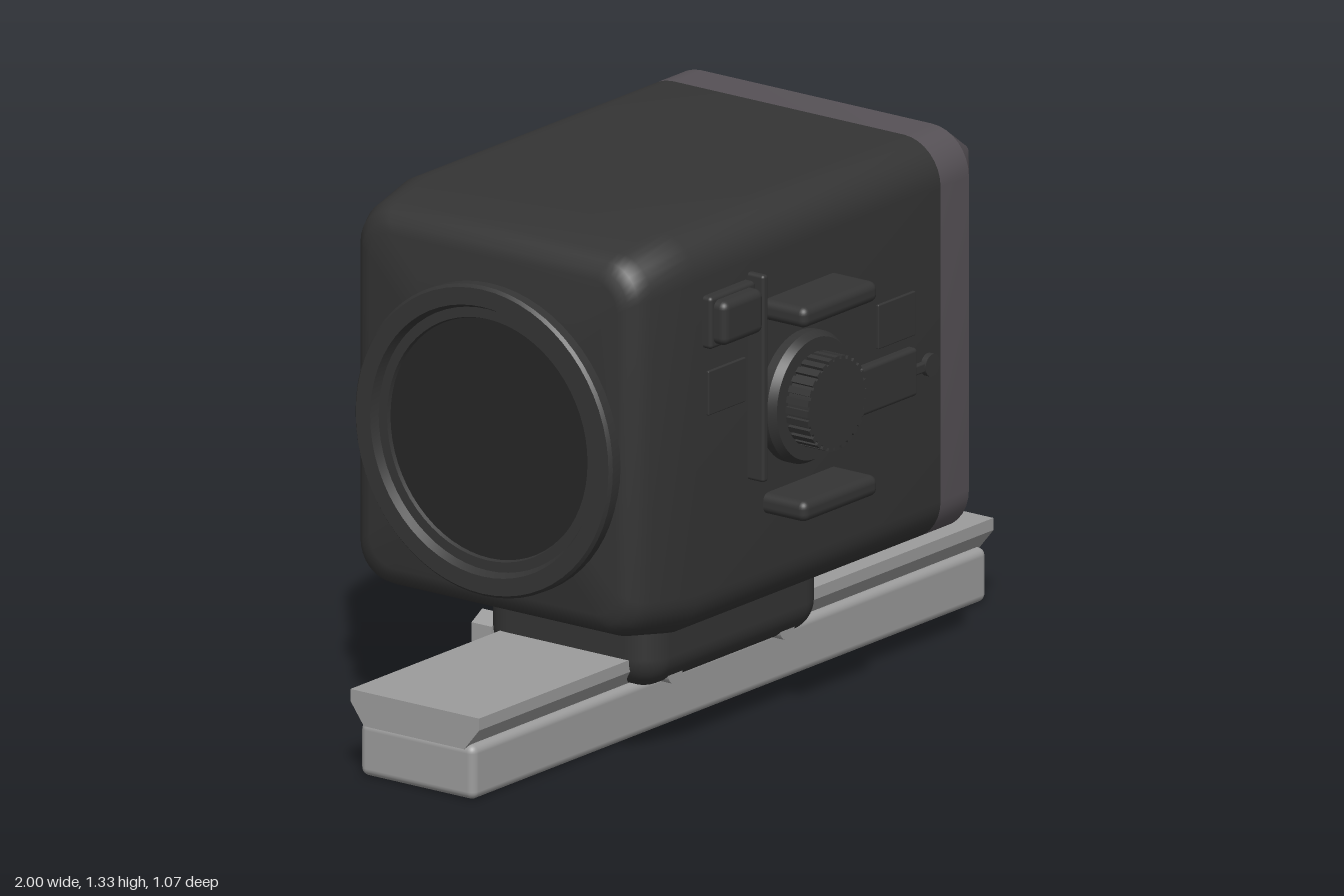
import * as THREE from 'three';
import { toCreasedNormals, mergeVertices } from 'three/addons/utils/BufferGeometryUtils.js';
import { RoundedBoxGeometry } from 'three/addons/geometries/RoundedBoxGeometry.js';

const CY = 0.83, CZ = -0.045, HY = 0.5, HZ = 0.455;

const material = (name, color) => {
  const m = new THREE.MeshStandardMaterial({ color });
  m.name = name;
  return m;
};

// Closed hull along x from rounded rectangles: each section is [x, inset, cornerRadius]
function hull(sections, crease) {
  const pos = [], idx = [], steps = 8, n = 4 * (steps + 1);
  for (const [x, inset, r] of sections) {
    for (let q = 0; q < 4; q++) {
      const sy = q === 0 || q === 3 ? 1 : -1, sz = q < 2 ? 1 : -1;
      for (let s = 0; s <= steps; s++) {
        const a = (q + s / steps) * Math.PI / 2;
        pos.push(x, CY + sy * (HY - inset - r) + r * Math.cos(a),
          CZ + sz * (HZ - inset - r) + r * Math.sin(a));
      }
    }
  }
  for (let i = 0; i < sections.length - 1; i++) {
    for (let j = 0; j < n; j++) {
      const k = (j + 1) % n, a = i * n + j, b = i * n + k;
      idx.push(a, b, a + n, b, b + n, a + n);
    }
  }
  // Flat ends
  const last = (sections.length - 1) * n, c = pos.length / 3;
  pos.push(sections[0][0], CY, CZ, sections.at(-1)[0], CY, CZ);
  for (let j = 0; j < n; j++) {
    const k = (j + 1) % n;
    idx.push(c, k, j, c + 1, last + j, last + k);
  }
  const g = new THREE.BufferGeometry();
  g.setAttribute('position', new THREE.Float32BufferAttribute(pos, 3));
  g.setIndex(idx);
  return toCreasedNormals(mergeVertices(g), crease);
}

// Turned part from [radius, height] points
function turned(points, segments = 64) {
  const g = new THREE.LatheGeometry(points.map(p => new THREE.Vector2(...p)), segments);
  return toCreasedNormals(g, 0.5);
}

export function createModel() {
  const root = new THREE.Group();
  root.name = 'opticOnRail';
  const dark = material('charcoal', 0x343434);
  const glass = material('dark glass', 0x262626);
  const grey = material('warm grey', 0x565156);
  const metal = material('light metal', 0x9c9c9c);

  const add = (name, geo, mat, x = 0, y = 0, z = 0, parent = root) => {
    const m = new THREE.Mesh(geo, mat);
    m.name = name;
    m.position.set(x, y, z);
    parent.add(m);
    return m;
  };
  // Rounded block given by its limits
  const block = (name, mat, x0, x1, y0, y1, z0, z1, r = 0.01) =>
    add(name, new RoundedBoxGeometry(x1 - x0, y1 - y0, z1 - z0, 3, r), mat,
      (x0 + x1) / 2, (y0 + y1) / 2, (z0 + z1) / 2);

  // Housing and its chamfered end cap
  add('housing', hull([[-0.7, 0.085, 0.07], [-0.692, 0.06, 0.08], [-0.675, 0.04, 0.09],
    [-0.64, 0.024, 0.1], [-0.5, 0, 0.11], [0.45, 0, 0.11]], 0.6), dark);
  add('endCap', hull([[0.45, 0, 0.11], [0.56, 0, 0.11], [0.65, 0.07, 0.015]], 0.45), grey);

  // Lens on the -x end
  const lens = new THREE.Group();
  lens.name = 'lens';
  lens.position.set(-0.69, 0.795, -0.05);
  lens.rotation.z = Math.PI / 2;
  root.add(lens);
  add('lensRing', turned([[0.385, 0], [0.385, 0.037], [0.378, 0.045], [0.335, 0.045],
    [0.325, 0.025], [0.3, 0.025], [0.295, 0.012]]), dark, 0, 0, 0, lens);
  add('lensGlass', new THREE.CylinderGeometry(0.297, 0.297, 0.006, 64), glass, 0, 0.013, 0, lens);

  // Battery port on the +x end
  const port = new THREE.Group();
  port.name = 'batteryPort';
  port.position.set(0.645, 0.53, -0.052);
  port.rotation.z = -Math.PI / 2;
  root.add(port);
  add('portRing', turned([[0.123, 0], [0.123, 0.04], [0.097, 0.04], [0.097, 0]], 40), grey, 0, 0, 0, port);
  add('portCover', new THREE.CylinderGeometry(0.098, 0.098, 0.012, 40), dark, 0, 0.007, 0, port);
  add('portSlot', new THREE.BoxGeometry(0.012, 0.015, 0.14), dark, -0.015, 0.018, 0, port);

  // Adjustment dial with ribbed knob
  const dial = new THREE.Group();
  dial.name = 'dial';
  dial.position.set(-0.095, 0.84, 0.405);
  dial.rotation.x = Math.PI / 2;
  root.add(dial);
  add('dialBase', turned([[0.162, 0], [0.162, 0.03], [0.15, 0.05], [0, 0.05]]), dark, 0, 0, 0, dial);
  add('knob', turned([[0.108, 0.04], [0.108, 0.115], [0, 0.115]], 48), dark, 0, 0, 0, dial);
  const ribGeo = new THREE.BoxGeometry(0.014, 0.07, 0.016);
  for (let i = 0; i < 28; i++) {
    const a = i / 28 * Math.PI * 2;
    add('knobRib', ribGeo, dark, 0.109 * Math.cos(a), 0.08, 0.109 * Math.sin(a), dial).rotation.y = -a;
  }

  // Guards above and below the dial
  for (const y of [0.578, 1.06]) block('dialGuard', dark, -0.24, 0.05, y, y + 0.052, 0.39, 0.535, 0.02);

  // Front buttons, strip and plates
  block('button', dark, -0.465, -0.31, 1.06, 1.17, 0.39, 0.47, 0.02);
  block('buttonBase', dark, -0.475, -0.3, 1.05, 1.18, 0.39, 0.435);
  block('strip', dark, -0.3, -0.279, 0.68, 1.195, 0.39, 0.457, 0.008);
  for (const x of [-0.46, 0.2]) block('frontPlate', dark, x, x + 0.145, 0.88, 0.99, 0.4, 0.417, 0.003);
  for (const x of [-0.45, 0.2]) block('backPlate', dark, x, x + 0.14, 0.88, 0.99, -0.507, -0.49, 0.003);

  // Front latch
  block('latch', dark, 0.115, 0.335, 0.735, 0.855, 0.39, 0.432);
  block('latchTab', dark, 0.08, 0.12, 0.765, 0.82, 0.39, 0.422, 0.005);
  block('latchNeck', dark, 0.33, 0.39, 0.78, 0.805, 0.39, 0.422, 0.005);
  add('latchEnd', new THREE.CylinderGeometry(0.028, 0.028, 0.03, 24), dark, 0.4, 0.793, 0.41).rotation.x = Math.PI / 2;

  // Back latch
  block('backLatch', dark, -0.27, -0.04, 0.755, 0.86, -0.517, -0.49, 0.006);
  block('backLatchNeck', dark, -0.05, 0.05, 0.795, 0.825, -0.512, -0.49, 0.005);
  add('backLatchEnd', new THREE.CylinderGeometry(0.022, 0.022, 0.02, 24), dark, 0.05, 0.81, -0.503).rotation.x = Math.PI / 2;
  block('backLatchPin', dark, -0.315, -0.28, 0.785, 0.835, -0.533, -0.49, 0.006);
  block('backLatchTab', dark, -0.3, -0.26, 0.765, 0.85, -0.515, -0.49, 0.006);

  // Mount between housing and rail
  add('mount', new RoundedBoxGeometry(0.69, 0.35, 0.51, 6, 0.08), dark, -0.075, 0.305, -0.045);

  // Rail: flared top over a plain bar
  const profile = new THREE.Shape([[-0.1, 0.125], [0.2, 0.125], [0.24, 0.18], [0.24, 0.21],
    [-0.145, 0.21], [-0.145, 0.18]].map(p => new THREE.Vector2(...p)));
  const railTop = new THREE.ExtrudeGeometry(profile, { depth: 2, bevelEnabled: false });
  add('railTop', railTop, metal, -1, 0, 0).rotation.y = Math.PI / 2;
  block('railBar', metal, -1, 1, 0, 0.135, -0.215, 0.128, 0.02);

  // Clamp bolts: hex nuts behind, round ends in front
  for (const x of [-0.293, 0.143]) {
    const nut = add('hexNut', toCreasedNormals(new THREE.CylinderGeometry(0.048, 0.048, 0.06, 6), 0.3),
      metal, x, 0.157, -0.36);
    nut.rotation.x = Math.PI / 2;
    const end = add('boltEnd', new THREE.CylinderGeometry(0.028, 0.028, 0.04, 20), metal, x, 0.157, 0.168);
    end.rotation.x = Math.PI / 2;
  }
  return root;
}
